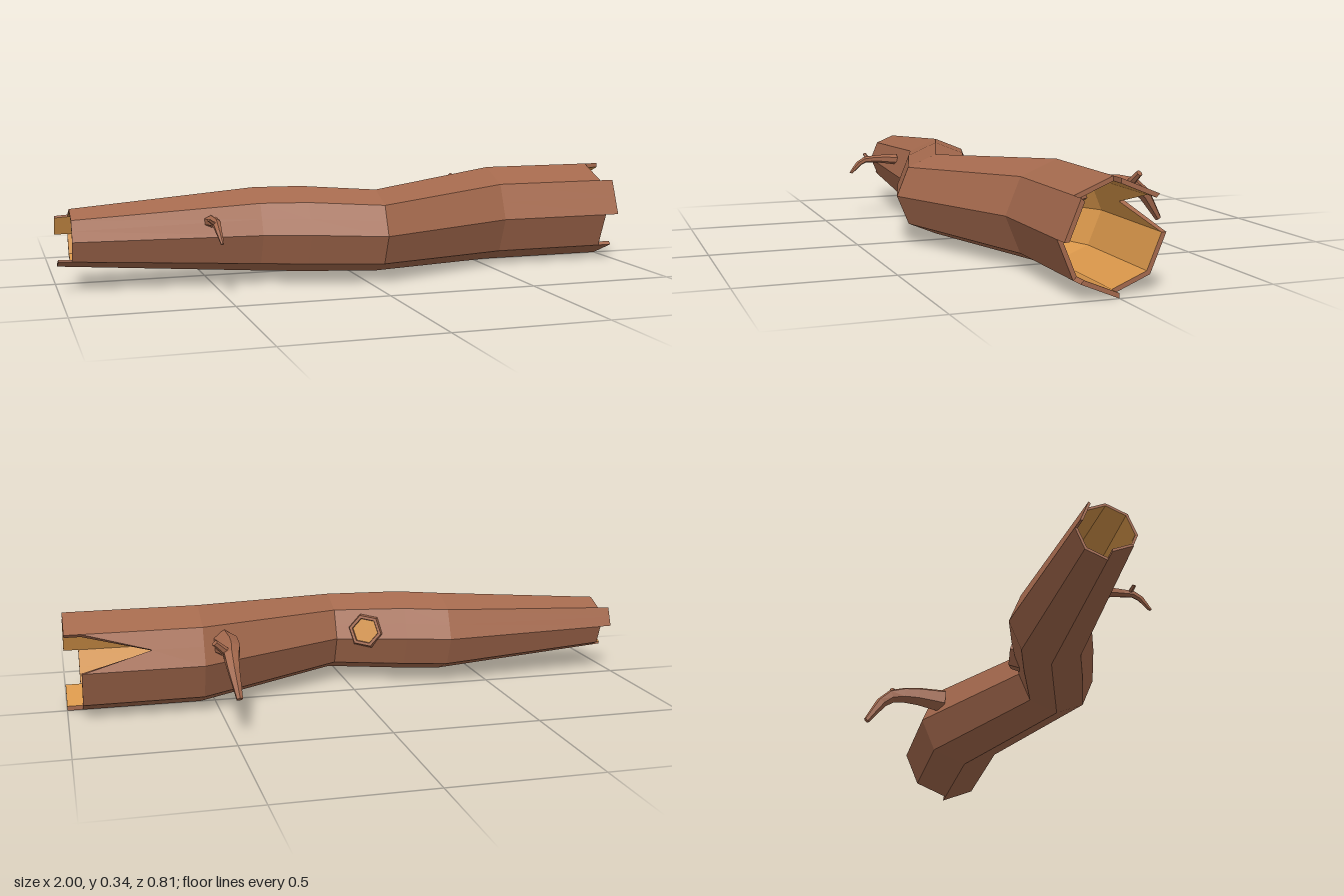
import * as THREE from 'three';

const bark = new THREE.MeshStandardMaterial({ color: 0xa4694d, flatShading: true });
const innerWood = new THREE.MeshStandardMaterial({ color: 0xd8964a, flatShading: true });

// Octagonal sections along the trunk: x, centre y, centre z, radius
const RINGS = [
  [-1, 0.174, 0.108, 0.091],
  [-0.35, 0.174, 0.107, 0.142],
  [-0.2, 0.175, 0.155, 0.145],
  [0.04, 0.17, 0.232, 0.138],
  [0.55, 0.173, 0, 0.17],
  [1, 0.173, 0, 0.17],
];
const HOLLOW = 0.91;
// Where each of the eight staves breaks off, from top front round to top back
const LEFT_END = [0.95, 1, 0.95, 1, 0.95, 0.95, 0.945, 1];
const RIGHT_END = [-0.957, -0.957, -0.957, -1, -0.957, -0.957, -1, -0.957];
const SPLIT_STAVE = 6, SPLIT_DEPTH = 0.72;

// Point on the trunk wall: u counts staves around the section
function wallPoint(x, u, scale) {
  let i = 0;
  while (i < RINGS.length - 2 && x > RINGS[i + 1][0]) i++;
  const a = RINGS[i], b = RINGS[i + 1], t = (x - a[0]) / (b[0] - a[0]);
  const [, cy, cz, r] = a.map((v, k) => v + (b[k] - v) * t);
  const corner = (k) => [Math.cos(k * Math.PI / 4), Math.sin(k * Math.PI / 4)];
  const p = corner(Math.floor(u)), q = corner(Math.floor(u) + 1), f = u - Math.floor(u);
  return new THREE.Vector3(x,
    cy + r * scale * (p[0] + (q[0] - p[0]) * f),
    cz + r * scale * (p[1] + (q[1] - p[1]) * f));
}

function quadMesh(quads, material, name) {
  const pos = [];
  for (const [a, b, c, d] of quads) for (const v of [a, b, c, a, c, d]) pos.push(v.x, v.y, v.z);
  const g = new THREE.BufferGeometry();
  g.setAttribute('position', new THREE.Float32BufferAttribute(pos, 3));
  g.computeVertexNormals();
  const mesh = new THREE.Mesh(g, material);
  mesh.name = name;
  return mesh;
}

function makeTrunk() {
  const outer = [], inner = [], rims = [];
  const add = (list, quad, flip) => list.push(flip ? quad.reverse() : quad);
  for (let k = 0; k < 8; k++) {
    // Half staves, so that one can be split down its middle
    for (let h = 0; h < 2; h++) {
      const us = [k + h / 2, k + (h + 1) / 2];
      const cols = us.map((u) => {
        const split = k === SPLIT_STAVE && u === k + 0.5;
        return [RIGHT_END[k], ...RINGS.slice(1, -1).map((r) => r[0]), split ? SPLIT_DEPTH : LEFT_END[k]];
      });
      const at = (c, i, s) => wallPoint(cols[c][i], us[c], s);
      const last = cols[0].length - 1;
      for (let i = 0; i < last; i++) {
        for (const [list, s] of [[outer, 1], [inner, HOLLOW]]) {
          add(list, [at(0, i, s), at(1, i, s), at(1, i + 1, s), at(0, i + 1, s)], s !== 1);
        }
      }
      // Broken end edges
      for (const i of [0, last]) {
        add(rims, [at(0, i, 1), at(1, i, 1), at(1, i, HOLLOW), at(0, i, HOLLOW)], i === 0);
      }
    }
    // Side edges of staves that stick out past a neighbour
    for (const [ends, sign] of [[LEFT_END, 1], [RIGHT_END, -1]]) {
      for (const side of [0, 1]) {
        const next = ends[(k + (side ? 1 : 7)) % 8], own = ends[k], u = k + side;
        if ((own - next) * sign <= 0) continue;
        add(rims, [wallPoint(next, u, 1), wallPoint(next, u, HOLLOW),
          wallPoint(own, u, HOLLOW), wallPoint(own, u, 1)], (sign > 0) !== (side === 1));
      }
    }
  }
  const trunk = new THREE.Group();
  trunk.name = 'trunk';
  trunk.add(quadMesh(outer, bark, 'trunkBark'), quadMesh(inner, innerWood, 'trunkHollow'),
    quadMesh(rims, bark, 'brokenEdges'));
  return trunk;
}

// Tapered limb: a cylinder whose rings are moved onto a curve
function limb(points, r0, r1, sides, steps, ref, name) {
  const curve = new THREE.CatmullRomCurve3(points.map((p) => new THREE.Vector3(...p)));
  const g = new THREE.CylinderGeometry(1, 1, 1, sides, steps);
  const pos = g.attributes.position;
  for (let i = 0; i < pos.count; i++) {
    const t = THREE.MathUtils.clamp(pos.getY(i) + 0.5, 0, 1);
    const T = curve.getTangentAt(t);
    const S = ref.clone().addScaledVector(T, -ref.dot(T)).normalize();
    const U = S.clone().cross(T);
    const r = r0 + (r1 - r0) * t;
    const p = curve.getPointAt(t).addScaledVector(S, pos.getX(i) * r).addScaledVector(U, pos.getZ(i) * r);
    pos.setXYZ(i, p.x, p.y, p.z);
  }
  g.computeVertexNormals();
  const mesh = new THREE.Mesh(g, bark);
  mesh.name = name;
  return mesh;
}

// Drooping branch with one side twig, growing towards -z
function makeBranch(name) {
  const branch = new THREE.Group();
  branch.name = name;
  branch.add(
    limb([[0, 0, 0], [0, 0.012, -0.14], [0.01, 0, -0.215], [0, -0.108, -0.297]],
      0.047, 0.011, 6, 7, new THREE.Vector3(1, 0, 0), 'branchLimb'),
    limb([[0.012, 0.01, -0.18], [0.04, 0.035, -0.188], [0.06, 0.054, -0.195]],
      0.015, 0.011, 6, 2, new THREE.Vector3(0, 0, 1), 'branchTwig'));
  return branch;
}

// Short hollow stub of a lost branch, along its own +y
function makeStub() {
  const stub = new THREE.Group();
  stub.name = 'branchStub';
  const profile = [[0.068, -0.035], [0.058, 0.022], [0.047, 0.022], [0.045, 0.008]];
  const wall = new THREE.Mesh(
    new THREE.LatheGeometry(profile.map((p) => new THREE.Vector2(...p)), 6), bark);
  wall.name = 'stubWall';
  const floor = new THREE.Mesh(new THREE.CircleGeometry(0.047, 6, Math.PI / 2), innerWood);
  floor.name = 'stubHollow';
  floor.rotation.x = -Math.PI / 2;
  floor.position.y = 0.009;
  stub.add(wall, floor);
  return stub;
}

export function createModel() {
  const log = new THREE.Group();
  log.name = 'hollowLog';
  log.add(makeTrunk());

  const backBranch = makeBranch('backBranch');
  backBranch.position.set(0.475, 0.228, -0.1);
  log.add(backBranch);

  const frontBranch = makeBranch('frontBranch');
  frontBranch.scale.set(0.5, 0.42, 0.6);
  frontBranch.rotation.y = Math.PI;
  frontBranch.position.set(-0.517, 0.224, 0.217);
  log.add(frontBranch);

  const stub = makeStub();
  stub.position.set(-0.06, 0.2, 0.069);
  stub.quaternion.setFromUnitVectors(new THREE.Vector3(0, 1, 0),
    new THREE.Vector3(0.33, 0.22, -0.92).normalize());
  log.add(stub);
  return log;
}
